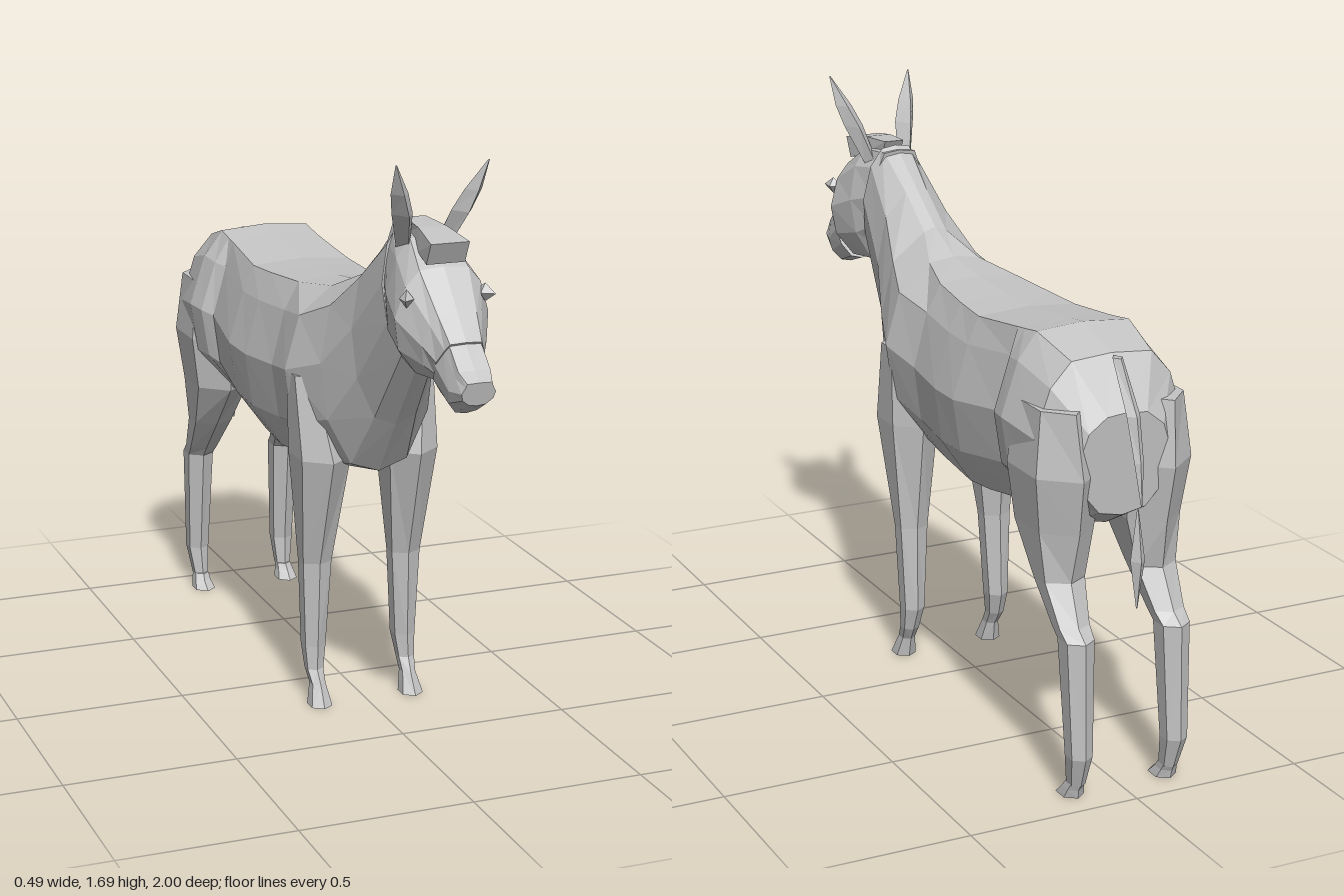
import * as THREE from 'three';

const coat = new THREE.MeshStandardMaterial({ color: 0xc4c4c4 });
coat.name = 'grey coat';

// Skin rings of [x, y, z] points into a closed, faceted solid facing outward
function loft(name, rings) {
  const tris = [];
  const n = rings[0].length;
  for (let i = 0; i < rings.length - 1; i++) {
    for (let j = 0; j < n; j++) {
      const k = (j + 1) % n;
      const a = rings[i][j], b = rings[i][k], c = rings[i + 1][k], d = rings[i + 1][j];
      tris.push([a, b, c], [a, c, d]);
    }
  }
  const middle = ring => [0, 1, 2].map(q => ring.reduce((s, p) => s + p[q], 0) / n);
  const first = rings[0], last = rings[rings.length - 1];
  const m0 = middle(first), m1 = middle(last);
  for (let j = 0; j < n; j++) {
    const k = (j + 1) % n;
    tris.push([m0, first[k], first[j]], [m1, last[j], last[k]]);
  }
  // Signed volume tells whether the faces point inward
  const volume = tris.reduce((s, [a, b, c]) => s +
    a[0] * (b[1] * c[2] - b[2] * c[1]) +
    a[1] * (b[2] * c[0] - b[0] * c[2]) +
    a[2] * (b[0] * c[1] - b[1] * c[0]), 0);
  if (volume < 0) tris.forEach(t => t.reverse());
  const geometry = new THREE.BufferGeometry();
  geometry.setAttribute('position', new THREE.Float32BufferAttribute(tris.flat(2), 3));
  geometry.computeVertexNormals();
  const mesh = new THREE.Mesh(geometry, coat);
  mesh.name = name;
  return mesh;
}

// Body cross-section from a top point to a bottom point: half width w, ridge half width t
function section([zt, yt, zb, yb, w, t]) {
  const half = [[0, 0], [0.5 * w, 0.05], [0.9 * w, 0.28], [w, 0.56],
    [Math.max(0.8 * w, t), 0.84], [t, 0.98], [0, 1]];
  const at = ([x, f]) => [x, yb + (yt - yb) * f, zb + (zt - zb) * f];
  const other = half.slice(1, -1).reverse().map(([x, f]) => [-x, f]);
  return [...half, ...other].map(at);
}

// Horizontal six-sided leg ring: height, front z, back z, inner x, outer x
function legRing([y, zf, zb, xi, xo], side) {
  return Array.from({ length: 6 }, (_, i) => {
    const a = i * Math.PI / 3;
    return [
      side * ((xi + xo) / 2 + (xo - xi) / 2 * Math.sin(a) / 0.866),
      y,
      (zf + zb) / 2 + (zf - zb) / 2 * Math.cos(a),
    ];
  });
}

// Four-cornered ring: centre, half width in x, half depth in z
const diamond = (x, y, z, w, d) => [[x, y, z + d], [x + w, y, z], [x, y, z - d], [x - w, y, z]];

export function createModel() {
  const model = new THREE.Group();
  model.name = 'donkey';

  // Trunk and neck, from rump to poll
  model.add(loft('bodyAndNeck', [
    [-0.91, 1.07, -0.89, 0.78, 0.14, 0.06],
    [-0.82, 1.21, -0.80, 0.73, 0.225, 0.12],
    [-0.66, 1.255, -0.66, 0.72, 0.245, 0.14],
    [-0.59, 1.245, -0.59, 0.72, 0.232, 0.14],
    [-0.55, 1.24, -0.56, 0.70, 0.205, 0.14],
    [-0.33, 1.215, -0.33, 0.665, 0.23, 0.15],
    [-0.20, 1.22, -0.20, 0.65, 0.225, 0.14],
    [-0.02, 1.23, -0.02, 0.66, 0.205, 0.12],
    [0.14, 1.25, 0.14, 0.695, 0.222, 0.08],
    [0.27, 1.31, 0.31, 0.73, 0.17, 0.035],
    [0.40, 1.40, 0.43, 0.90, 0.125, 0.035],
    [0.55, 1.505, 0.60, 1.13, 0.10, 0.045],
  ].map(section)));

  // Head, from poll to jaw and face
  model.add(loft('head', [
    [0.52, 1.495, 0.57, 1.17, 0.085, 0.05],
    [0.66, 1.485, 0.61, 1.125, 0.115, 0.055],
    [0.76, 1.42, 0.73, 1.115, 0.134, 0.07],
    [0.85, 1.315, 0.81, 1.12, 0.092, 0.055],
    [0.91, 1.25, 0.82, 1.12, 0.068, 0.045],
  ].map(section)));
  model.add(loft('muzzle', [
    [0.89, 1.26, 0.82, 1.09, 0.068, 0.045],
    [0.965, 1.19, 0.91, 1.06, 0.062, 0.045],
    [1.0, 1.165, 0.985, 1.10, 0.048, 0.035],
  ].map(section)));

  // Wedge of hair overhanging the brow
  model.add(loft('forelock', [
    [[-0.03, 1.515, 0.56], [0.03, 1.515, 0.56], [0.03, 1.48, 0.58], [-0.03, 1.48, 0.58]],
    [[-0.04, 1.51, 0.68], [0.04, 1.51, 0.68], [0.05, 1.45, 0.70], [-0.05, 1.45, 0.70]],
    [[-0.055, 1.49, 0.80], [0.055, 1.49, 0.80], [0.055, 1.43, 0.77], [-0.055, 1.43, 0.77]],
  ]));

  for (const side of [1, -1]) {
    const label = side > 0 ? 'left' : 'right';

    // Pointed ear, leaning forward and outward
    model.add(loft(label + 'Ear', [
      diamond(side * 0.055, 1.44, 0.61, 0.02, 0.04),
      diamond(side * 0.085, 1.55, 0.675, 0.03, 0.05),
      diamond(side * 0.105, 1.61, 0.705, 0.025, 0.035),
      diamond(side * 0.131, 1.693, 0.745, 0.002, 0.002),
    ]));

    // Heavy eyelid
    const eye = new THREE.Mesh(new THREE.OctahedronGeometry(1), coat);
    eye.name = label + 'Eye';
    eye.scale.set(0.02, 0.025, 0.035);
    eye.position.set(side * 0.112, 1.345, 0.775);
    eye.rotation.y = side * 0.5;
    model.add(eye);

    // Foreleg with shoulder, fetlock and hoof
    model.add(loft(label + 'FrontLeg', [
      [1.0, 0.23, 0.09, 0.12, 0.212],
      [0.76, 0.30, 0.07, 0.06, 0.208],
      [0.43, 0.20, 0.11, 0.095, 0.182],
      [0.17, 0.188, 0.105, 0.11, 0.172],
      [0.10, 0.19, 0.13, 0.12, 0.168],
      [0.06, 0.215, 0.155, 0.122, 0.162],
      [0, 0.25, 0.165, 0.112, 0.175],
    ].map(r => legRing(r, side))));

    // Hind leg with thigh, hock and fetlock
    model.add(loft(label + 'HindLeg', [
      [1.08, -0.62, -0.90, 0.08, 0.215],
      [0.90, -0.59, -0.93, 0.04, 0.235],
      [0.74, -0.61, -0.90, 0.05, 0.215],
      [0.60, -0.73, -0.87, 0.08, 0.20],
      [0.49, -0.83, -0.925, 0.10, 0.19],
      [0.46, -0.855, -0.968, 0.105, 0.187],
      [0.13, -0.895, -0.977, 0.115, 0.178],
      [0.04, -0.885, -0.945, 0.122, 0.165],
    ].map(r => legRing(r, side))));
    model.add(loft(label + 'HindHoof', [
      [0.045, -0.88, -0.945, 0.122, 0.165],
      [0.025, -0.865, -0.935, 0.12, 0.17],
      [0, -0.835, -0.93, 0.112, 0.175],
    ].map(r => legRing(r, side))));
  }

  // Tail tapering to a point, then the hanging tuft
  model.add(loft('tail', [
    diamond(0, 1.205, -0.85, 0.015, 0.02),
    diamond(0, 1.07, -0.94, 0.02, 0.02),
    diamond(0, 0.95, -0.975, 0.014, 0.01),
    diamond(0, 0.835, -0.993, 0.002, 0.002),
  ]));
  model.add(loft('tailTuft', [
    diamond(0, 0.825, -0.973, 0.002, 0.002),
    diamond(0, 0.68, -0.977, 0.022, 0.021),
    diamond(0, 0.545, -0.977, 0.002, 0.002),
  ]));

  return model;
}
